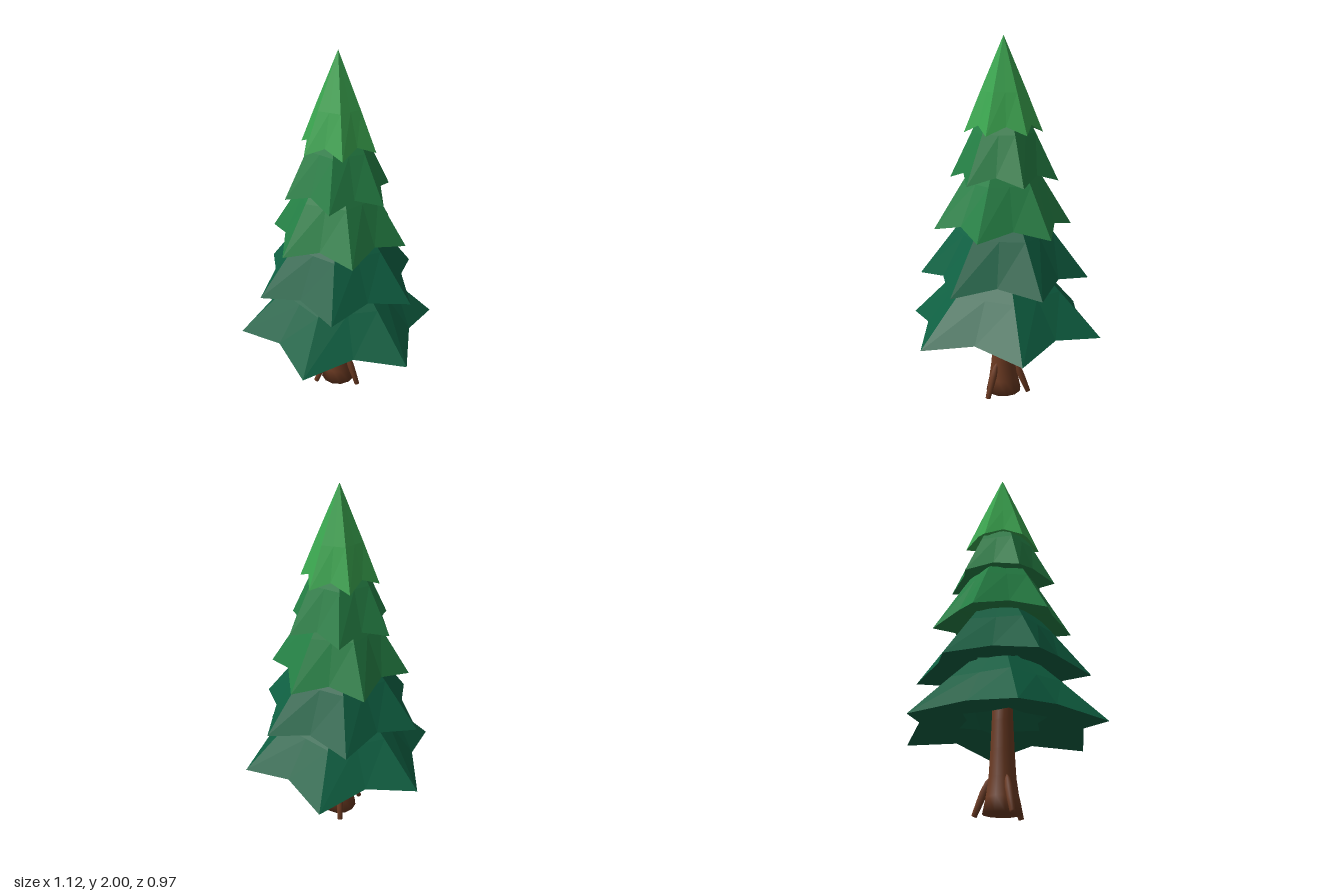
import * as THREE from 'three';

const foliage = (name, color) => {
  const m = new THREE.MeshStandardMaterial({ color, flatShading: true, side: THREE.DoubleSide });
  m.name = name;
  return m;
};

// Star-shaped ring of 12 points: six drooping tips with valleys between them
function starRing(tipR, valleyR, tipY, valleyY, turn) {
  return Array.from({ length: 12 }, (_, i) => {
    const a = turn + (i * Math.PI) / 6;
    const r = i % 2 ? valleyR : tipR;
    return [r * Math.cos(a), i % 2 ? valleyY : tipY, -r * Math.sin(a)];
  });
}

// Skins consecutive rings, from lowest to highest
function loft(rings) {
  const pos = [];
  for (let k = 0; k < rings.length - 1; k++) {
    const lo = rings[k], hi = rings[k + 1];
    for (let i = 0; i < 12; i++) {
      const j = (i + 1) % 12;
      pos.push(...lo[i], ...lo[j], ...hi[j]);
      if (k < rings.length - 2) pos.push(...lo[i], ...hi[j], ...hi[i]);
      else pos.splice(-9, 9, ...lo[i], ...lo[j], ...hi[i]);
    }
  }
  const g = new THREE.BufferGeometry();
  g.setAttribute('position', new THREE.Float32BufferAttribute(pos, 3));
  g.computeVertexNormals();
  return g;
}

// One skirt of branches: recessed underside, flared edge, slopes to an apex
function branchTier(R, y, apexY, degrees) {
  const turn = THREE.MathUtils.degToRad(degrees);
  const h = apexY - y;
  return loft([
    starRing(R * 0.44, R * 0.33, y + 0.06, y + 0.065, turn),
    starRing(R, R * 0.76, y, y + 0.045, turn),
    starRing(R * 0.58, R * 0.5, y + h * 0.43, y + h * 0.43, turn),
    starRing(0, 0, apexY, apexY, turn),
  ]);
}

export function createModel() {
  const tree = new THREE.Group();
  tree.name = 'pineTree';

  const bark = new THREE.MeshStandardMaterial({ color: 0x6b3a22 });
  bark.name = 'bark';
  const dark = foliage('darkGreen', 0x0f6042);
  const mid = foliage('midGreen', 0x258045);
  const light = foliage('lightGreen', 0x3aa54f);

  const add = (name, geometry, material) => {
    const mesh = new THREE.Mesh(geometry, material);
    mesh.name = name;
    tree.add(mesh);
    return mesh;
  };

  // Branch tiers: tip radius, tip height, apex height, turn, colour
  [
    [0.56, 0.415, 0.97, 0, dark],
    [0.467, 0.71, 1.31, 15, dark],
    [0.38, 0.99, 1.59, 30, mid],
    [0.295, 1.255, 1.84, 10.5, mid],
    [0.21, 1.505, 2.0, 25, light],
  ].forEach(([r, y, top, turn, mat], i) =>
    add(`branchTier${i + 1}`, branchTier(r, y, top, turn), mat));

  // Trunk with a flared foot
  const trunkProfile = [
    [0, 0.012], [0.1, 0.012], [0.084, 0.09], [0.07, 0.19],
    [0.062, 0.33], [0.056, 0.48], [0.045, 0.8], [0, 0.8],
  ].map(([r, y]) => new THREE.Vector2(r, y));
  add('trunk', new THREE.LatheGeometry(trunkProfile, 12), bark);

  // Three tapered roots leaning against the trunk
  const rootProfile = [[0, 0], [0.014, 0], [0.018, 0.07], [0.02, 0.13], [0.014, 0.18], [0, 0.21]]
    .map(([r, y]) => new THREE.Vector2(r, y));
  const rootGeometry = new THREE.LatheGeometry(rootProfile, 8);
  const up = new THREE.Vector3(0, 1, 0);
  [108, 228, 348].forEach((deg, i) => {
    const a = THREE.MathUtils.degToRad(deg);
    const foot = new THREE.Vector3(0.143 * Math.cos(a), 0.005, 0.143 * Math.sin(a));
    const top = new THREE.Vector3(0.062 * Math.cos(a), 0.2, 0.062 * Math.sin(a));
    const root = add(`root${i + 1}`, rootGeometry, bark);
    root.position.copy(foot);
    root.quaternion.setFromUnitVectors(up, top.sub(foot).normalize());
  });

  return tree;
}
